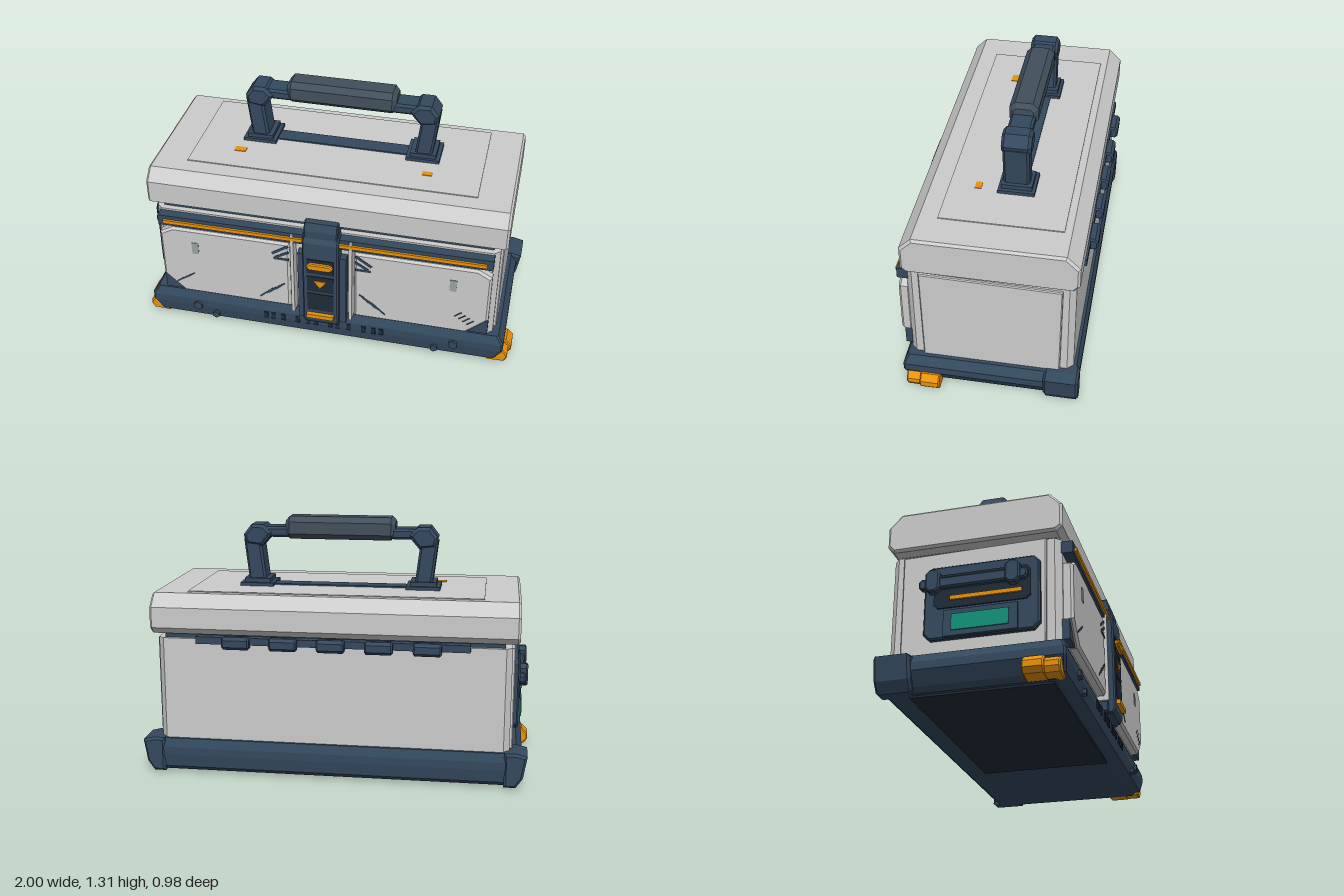
import * as THREE from 'three';

const mat = (color) => new THREE.MeshStandardMaterial({ color, flatShading: true, side: THREE.DoubleSide });
const GREY = mat(0xcccccc), NAVY = mat(0x34495e), DARK = mat(0x1f2b38), GRIP = mat(0x42505c),
  ORANGE = mat(0xe8920c), TEAL = mat(0x12927a), MARK = mat(0x9aa39c);

export function createModel() {
  const root = new THREE.Group();
  const add = (name, geo, material, x = 0, y = 0, z = 0) => {
    const m = new THREE.Mesh(geo, material);
    m.name = name;
    m.position.set(x, y, z);
    root.add(m);
    return m;
  };
  // Box given by its limits on each axis
  const box = (name, material, [x0, x1], [y0, y1], [z0, z1]) =>
    add(name, new THREE.BoxGeometry(Math.abs(x1 - x0), y1 - y0, z1 - z0), material,
      (x0 + x1) / 2, (y0 + y1) / 2, (z0 + z1) / 2);
  // Outline extruded with an optional small chamfer that stays inside it
  const extrude = (pts, depth, bevel = 0) => new THREE.ExtrudeGeometry(
    new THREE.Shape(pts.map(([u, v]) => new THREE.Vector2(u, v))),
    { depth: depth - 2 * bevel, bevelEnabled: bevel > 0, bevelThickness: bevel, bevelSize: bevel,
      bevelOffset: -bevel, bevelSegments: 1 }).translate(0, 0, bevel);
  // (x, y) outline between two z values
  const front = (name, material, pts, z0, z1, bevel) =>
    add(name, extrude(pts, z1 - z0, bevel), material, 0, 0, z0);
  // (z, y) outline between two x values
  const side = (name, material, pts, x0, x1, bevel) =>
    add(name, extrude(pts.map(([z, y]) => [-z, y]), x1 - x0, bevel).rotateY(Math.PI / 2), material, x0);
  // Rectangle outline with cut corners
  const octagon = (x0, x1, y0, y1, c) => [[x0 + c, y0], [x1 - c, y0], [x1, y0 + c], [x1, y1 - c],
    [x1 - c, y1], [x0 + c, y1], [x0, y1 - c], [x0, y0 + c]];
  // Solid skinned through corner-cut rectangles stacked in y: [y, halfX, zBack, zFront, cut]
  const loft = (name, material, rings) => {
    const pos = [], index = [];
    rings.forEach(([y, hx, z0, z1, c]) => octagon(-hx, hx, z0, z1, c).forEach(([x, z]) => pos.push(x, y, z)));
    for (let r = 0; r < rings.length - 1; r++) for (let i = 0; i < 8; i++) {
      const a = r * 8 + i, b = r * 8 + (i + 1) % 8;
      index.push(a, a + 8, b, b, a + 8, b + 8);
    }
    const top = (rings.length - 1) * 8;
    for (let i = 1; i < 7; i++) index.push(0, i, i + 1, top, top + i + 1, top + i);
    const geo = new THREE.BufferGeometry();
    geo.setAttribute('position', new THREE.Float32BufferAttribute(pos, 3));
    geo.setIndex(index);
    geo.computeVertexNormals();
    return add(name, geo, material);
  };

  // Base tray
  loft('baseTray', NAVY, [[0.01, 0.9, -0.42, 0.37, 0.01], [0.035, 0.92, -0.45, 0.41, 0.01],
    [0.1, 0.96, -0.46, 0.42, 0.01], [0.14, 0.96, -0.46, 0.42, 0.01], [0.185, 0.93, -0.445, 0.4, 0.01]]);
  box('underPlate', DARK, [-0.88, 0.25], [0, 0.012], [-0.32, 0.35]);

  // Body with corner posts and side panels
  loft('body', GREY, [[0.18, 0.895, -0.43, 0.39, 0.03], [0.715, 0.895, -0.43, 0.39, 0.03]]);
  box('lidSeal', NAVY, [-0.86, 0.86], [0.71, 0.745], [-0.41, 0.36]);

  // Lid
  side('lid', GREY, [[0.405, 0.88], [0.345, 0.94], [-0.385, 0.94], [-0.45, 0.875], [-0.45, 0.77],
    [-0.42, 0.737], [0.375, 0.737], [0.405, 0.76]], -0.93, 0.93, 0.012);
  box('lidPanel', GREY, [-0.75, 0.75], [0.935, 0.945], [-0.35, 0.255]);
  box('lidMark', ORANGE, [-0.54, -0.48], [0.94, 0.948], [0.08, 0.12]);
  box('lidMark', ORANGE, [0.45, 0.5], [0.94, 0.948], [0.095, 0.128]);

  // Hinges
  box('hingeStrip', NAVY, [-0.69, 0.69], [0.695, 0.732], [-0.455, -0.4]);
  for (let i = -2; i <= 2; i++)
    side('hingeKnuckle', NAVY, octagon(-0.492, -0.435, 0.675, 0.74, 0.015), i * 0.24 - 0.07, i * 0.24 + 0.07, 0.008);

  // Front rail
  box('frontRail', NAVY, [-0.87, 0.87], [0.645, 0.705], [0.38, 0.44]);
  box('railStripe', ORANGE, [-0.84, 0.84], [0.663, 0.683], [0.43, 0.452]);

  // Mirrored parts
  for (const s of [-1, 1]) {
    const mx = (pts) => pts.map(([x, y]) => [s * x, y]);
    side('sidePanel', GREY, [[0.32, 0.18], [0.325, 0.715], [-0.37, 0.705], [-0.365, 0.18]],
      s > 0 ? 0.88 : -0.91, s > 0 ? 0.91 : -0.88, 0.005);

    // Front cladding, corner guards and trim
    front('frontPanel', GREY, mx([[0.17, 0.21], [0.76, 0.21], [0.87, 0.31], [0.87, 0.59], [0.8, 0.63], [0.17, 0.63]]),
      0.38, 0.438, 0.012);
    front('cornerGuard', NAVY, mx([[0.77, 0.21], [0.87, 0.21], [0.87, 0.31]]), 0.38, 0.42);
    box('trimPost', GREY, [s * 0.145, s * 0.162], [0.19, 0.7], [0.38, 0.45]);
    box('panelWindow', MARK, [s * 0.68 - 0.018, s * 0.68 + 0.018], [0.48, 0.55], [0.43, 0.441]);

    // Slanted slits and scratches: [x, y, length, thickness, angle]
    const slits = [[0.22, 0.585, 0.1, 0.014, -0.6], [0.21, 0.555, 0.08, 0.014, -0.55], [0.215, 0.527, 0.08, 0.012, 0]];
    for (let k = 0; k < 4; k++) {
      slits.push([0.225 + k * 0.025, 0.34 - k * 0.018, 0.07 + (k % 2) * 0.03, 0.007, -0.75]);
      slits.push([0.715 + k * 0.022, 0.33 - k * 0.015, 0.045, 0.006, s * 0.7]);
    }
    for (const [x, y, l, t, a] of slits)
      add('slit', new THREE.BoxGeometry(l, t, 0.01), NAVY, s * x, y, 0.436).rotation.z = s * a;

    // Base bolts and vent slots
    for (const [x, y, r] of [[0.7, 0.105, 0.026], [0.6, 0.06, 0.02]])
      add('baseBolt', new THREE.CylinderGeometry(r, r, 0.03, 6).rotateX(Math.PI / 2), NAVY, s * x, y, 0.418);
    for (const x of [0.04, 0.08, 0.14, 0.22, 0.275, 0.315])
      box('ventSlot', DARK, [s * x - 0.011, s * x + 0.011], [0.09, 0.13], [0.41, 0.425]);

    // Front feet and rear corner blocks
    front('frontFoot', ORANGE, mx([[0.89, 0.01], [0.98, 0.015], [1, 0.04], [1, 0.07], [0.97, 0.1], [0.9, 0.1]]), 0.23, 0.33, 0.006);
    front('frontFootToe', ORANGE, mx([[0.88, 0.012], [0.97, 0.015], [0.985, 0.04], [0.985, 0.065], [0.95, 0.095], [0.89, 0.095]]),
      0.32, 0.4, 0.006);
    front('rearCorner', NAVY, mx([[0.87, 0.01], [0.93, 0.01], [0.965, 0.06], [0.985, 0.175], [0.93, 0.188], [0.87, 0.188]]),
      -0.465, -0.29, 0.012);

    // Handle foot, post, elbow and link
    box('handleFoot', NAVY, [s * 0.345, s * 0.52], [0.94, 0.962], [-0.17, 0.012]);
    box('handleFootStep', NAVY, [s * 0.365, s * 0.5], [0.96, 0.984], [-0.155, -0.002]);
    front('handlePost', NAVY, mx([[0.388, 0.97], [0.478, 0.97], [0.505, 1.19], [0.415, 1.19]]), -0.14, -0.01, 0.012);
    front('handleElbow', NAVY, mx([[0.41, 1.15], [0.49, 1.16], [0.505, 1.21], [0.465, 1.262], [0.4, 1.262], [0.355, 1.22], [0.375, 1.19]]),
      -0.148, -0.002, 0.015);
    side('handleLink', NAVY, octagon(-0.135, -0.015, 1.198, 1.252, 0.012), s > 0 ? 0.24 : -0.4, s > 0 ? 0.4 : -0.24);
  }

  // Grip and the strip under it
  side('handleGrip', GRIP, octagon(-0.147, -0.003, 1.19, 1.307, 0.028), -0.285, 0.285, 0.022);
  box('handleStrip', NAVY, [-0.36, 0.36], [0.94, 0.952], [-0.12, -0.035]);

  // Centre latch
  box('latchFlange', NAVY, [-0.128, 0.128], [0.15, 0.58], [0.38, 0.435]);
  side('latchColumn', NAVY, [[0.38, 0.145], [0.455, 0.145], [0.47, 0.17], [0.47, 0.68], [0.445, 0.72], [0.38, 0.72]],
    -0.095, 0.095, 0.008);
  side('latchHead', NAVY, [[0.37, 0.7], [0.455, 0.7], [0.455, 0.745], [0.44, 0.788], [0.37, 0.788]], -0.088, 0.088, 0.006);
  for (const [y0, y1] of [[0.49, 0.58], [0.37, 0.47], [0.245, 0.355]])
    box('latchInset', DARK, [-0.07, 0.07], [y0, y1], [0.46, 0.474]);
  front('latchButton', ORANGE, octagon(-0.068, 0.068, 0.522, 0.562, 0.014), 0.46, 0.492, 0.006);
  front('latchArrow', ORANGE, [[-0.035, 0.445], [0, 0.4], [0.035, 0.445]], 0.46, 0.48);
  box('latchBar', ORANGE, [-0.072, 0.072], [0.2, 0.224], [0.46, 0.492]);

  // Control panel on the right side
  side('controlPanel', NAVY, octagon(-0.25, 0.3, 0.25, 0.62, 0.03), -0.935, -0.9, 0.008);
  side('controlInset', DARK, octagon(-0.2, 0.26, 0.4, 0.57, 0.02), -0.942, -0.92);
  side('controlBar', NAVY, octagon(-0.27, 0.25, 0.495, 0.55, 0.015), -0.965, -0.93, 0.008);
  for (const z of [-0.2, 0.18])
    side('controlKnob', NAVY, octagon(z - 0.035, z + 0.035, 0.475, 0.59, 0.02), -0.977, -0.93, 0.008);
  box('controlStripe', ORANGE, [-0.952, -0.93], [0.435, 0.455], [-0.12, 0.22]);
  box('screenFrame', NAVY, [-0.948, -0.92], [0.255, 0.385], [-0.15, 0.2]);
  box('screen', TEAL, [-0.954, -0.93], [0.28, 0.36], [-0.11, 0.16]);

  return root;
}
